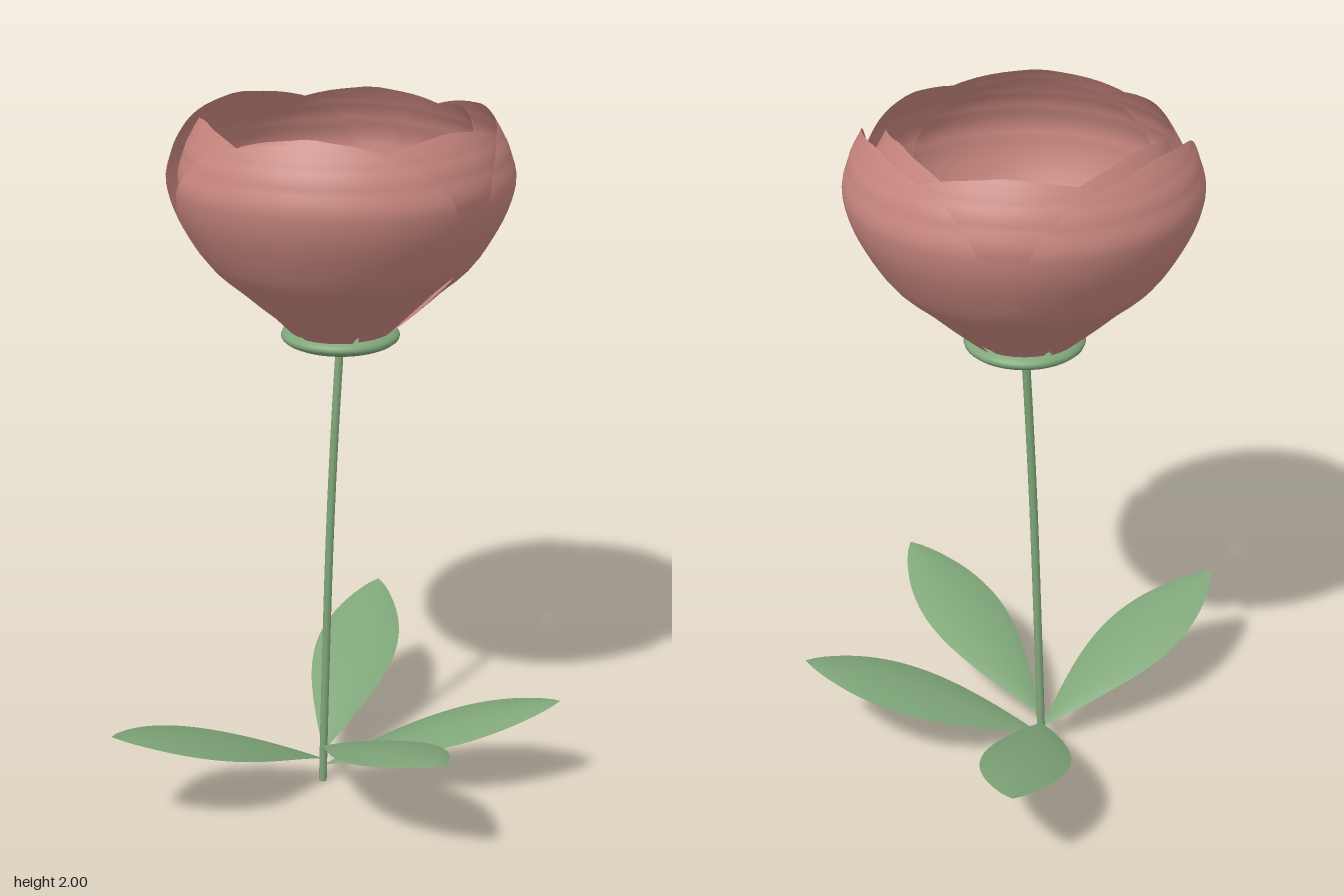
import * as THREE from 'three';
import { ParametricGeometry } from 'three/addons/geometries/ParametricGeometry.js';

const green = new THREE.MeshStandardMaterial({ color: 0x7fa679, side: THREE.DoubleSide });
green.name = 'leafGreen';
const pink = new THREE.MeshStandardMaterial({ color: 0xc6857d, side: THREE.DoubleSide });
pink.name = 'petalPink';

const rad = THREE.MathUtils.degToRad;

// Petal profile from base to tip: radius, height, half angle in degrees
const petalProfile = new THREE.CatmullRomCurve3([
  [0.145, 1.4, 26], [0.19, 1.44, 31], [0.285, 1.53, 46], [0.385, 1.63, 54],
  [0.442, 1.73, 56.5], [0.47, 1.82, 53], [0.455, 1.9, 46.5],
  [0.432, 1.95, 37], [0.415, 1.98, 24], [0.402, 2.0, 3],
].map((p) => new THREE.Vector3(...p)));

// A petal wraps around the flower axis, its width following the profile
function petalGeometry(inset) {
  const p = new THREE.Vector3();
  return new ParametricGeometry((u, v, target) => {
    petalProfile.getPoint(v, p);
    const a = rad(p.z) * (1 - 2 * u);
    const r = p.x - inset * Math.min(1, 0.15 + 1.6 * v);
    target.set(r * Math.cos(a), p.y, r * Math.sin(a));
  }, 28, 36);
}

// A leaf rises from the stem, flattens towards its tip and droops at its edges
function leafGeometry(length, rise) {
  return new ParametricGeometry((u, v, target) => {
    const s = 2 * u - 1;
    const w = 0.126 * Math.pow(Math.sin(Math.PI * Math.pow(v, 1.25)), 0.8);
    const y = rise * (1.45 * v - 0.45 * v * v) - 0.02 * s * s * (w / 0.126);
    target.set(length * v, y, s * w);
  }, 12, 28);
}

function add(parent, name, geometry, material) {
  const mesh = new THREE.Mesh(geometry, material);
  mesh.name = name;
  parent.add(mesh);
  return mesh;
}

export function createModel() {
  const model = new THREE.Group();
  model.name = 'flower';

  // Gently curved stem
  const path = new THREE.CatmullRomCurve3([
    [0.015, 0, -0.04], [0.019, 0.35, -0.027], [0.03, 0.8, -0.02],
    [0.045, 1.1, -0.026], [0.065, 1.38, -0.04],
  ].map((p) => new THREE.Vector3(...p)));
  add(model, 'stem', new THREE.TubeGeometry(path, 40, 0.012, 10), green);
  const foot = add(model, 'stemFoot', new THREE.CircleGeometry(0.012, 10), green);
  foot.rotation.x = Math.PI / 2;
  foot.position.set(0.015, 0.001, -0.04);

  // Leaves: base height, tip x, tip z
  const leaves = new THREE.Group();
  leaves.name = 'leaves';
  model.add(leaves);
  for (const [y, x, z] of [
    [0.05, 0.645, 0.25], [0.073, -0.65, 0.16], [0.093, 0.37, -0.64], [0.115, 0.16, 0.64],
  ]) {
    const dx = x - 0.015, dz = z + 0.037;
    const leaf = add(leaves, 'leaf', leafGeometry(Math.hypot(dx, dz), 0.266), green);
    leaf.position.set(0.015, y, -0.037);
    leaf.rotation.y = -Math.atan2(dz, dx);
  }

  // Blossom, centred on the top of the stem
  const blossom = new THREE.Group();
  blossom.name = 'blossom';
  blossom.position.set(0.065, 0, -0.04);
  model.add(blossom);

  const base = add(blossom, 'receptacle', new THREE.SphereGeometry(0.165, 40, 16), green);
  base.scale.y = 0.24;
  base.position.y = 1.385;

  // Three nested rings of three petals, each ring turned by 60 degrees
  ['outerPetal', 'middlePetal', 'innerPetal'].forEach((name, ring) => {
    const geometry = petalGeometry(ring * 0.032);
    for (let i = 0; i < 3; i++) {
      const petal = add(blossom, name, geometry, pink);
      petal.rotation.y = rad(120 * i + 60 * ring);
    }
  });

  // Small ring and buds at the heart
  const heart = add(blossom, 'heartRing', new THREE.TorusGeometry(0.036, 0.006, 8, 24), pink);
  heart.rotation.x = Math.PI / 2;
  heart.position.y = 1.427;
  for (let i = 0; i < 5; i++) {
    const a = rad(72 * i + 18);
    const bud = add(blossom, 'heartBud', new THREE.SphereGeometry(0.011, 10, 8), pink);
    bud.position.set(0.023 * Math.cos(a), 1.427, 0.023 * Math.sin(a));
  }
  return model;
}
